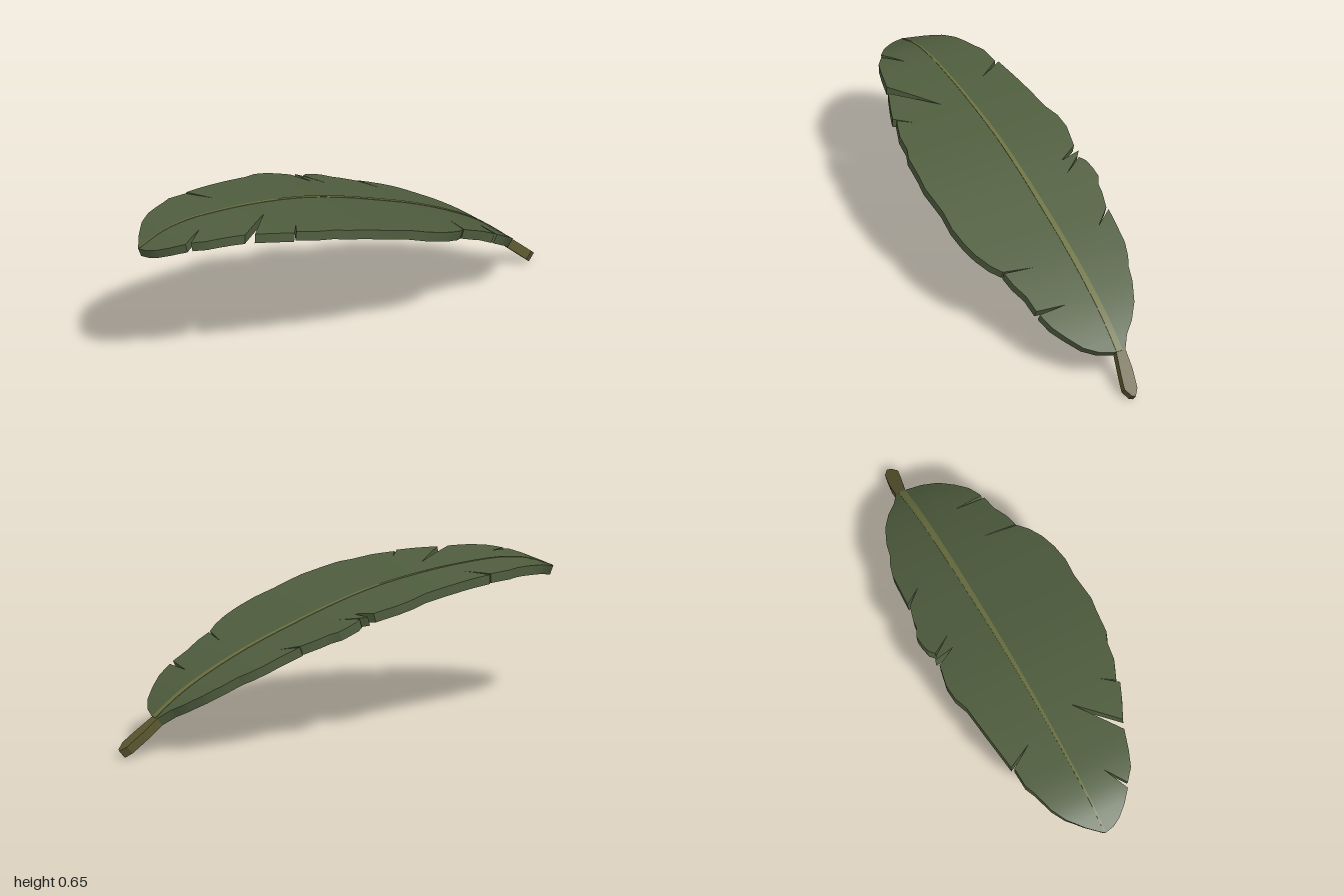
import * as THREE from 'three';
import { toCreasedNormals } from 'three/addons/utils/BufferGeometryUtils.js';

const THICKNESS = 0.04;

// Arching spine of the upper face, seen from the front
const spine = new THREE.CatmullRomCurve3([
  [-1, 0.585], [-0.88, 0.632], [-0.75, 0.65], [-0.62, 0.648], [-0.45, 0.636], [-0.2, 0.6],
  [0, 0.55], [0.2, 0.485], [0.42, 0.405], [0.62, 0.312], [0.75, 0.235], [0.88, 0.133], [1, 0.033],
].map(([x, y]) => new THREE.Vector3(x, y, 0)));
const stations = spine.getPoints(36);
const normals = stations.map((p, i) => {
  const a = stations[Math.max(i - 1, 0)], b = stations[Math.min(i + 1, stations.length - 1)];
  return new THREE.Vector3(a.y - b.y, b.x - a.x, 0).normalize();
});

// Places a flat point (x, z) on the arch, shifted by h along its normal
function bend([x, z], h) {
  let i = 0;
  while (i < stations.length - 2 && stations[i + 1].x < x) i++;
  const t = (x - stations[i].x) / (stations[i + 1].x - stations[i].x);
  const p = stations[i].clone().lerp(stations[i + 1], t);
  const n = normals[i].clone().lerp(normals[i + 1], t).normalize();
  return p.addScaledVector(n, h).setZ(z);
}

// Keeps the part of a convex polygon where side * (x - limit) >= 0
function clip(poly, limit, side) {
  const out = [];
  poly.forEach((a, i) => {
    const b = poly[(i + 1) % poly.length];
    const da = side * (a[0] - limit), db = side * (b[0] - limit);
    if (da >= 0) out.push(a);
    if (da * db < 0) {
      const t = da / (da - db);
      out.push([limit, a[1] + (b[1] - a[1]) * t]);
    }
  });
  return out;
}

// Turns a flat outline into a slab that follows the arch
function archedSlab(points, top, bottom) {
  const area = (p) => THREE.ShapeUtils.area(p.map(([x, y]) => ({ x, y })));
  const outline = area(points) > 0 ? [...points].reverse() : points;
  const pos = [];
  const tri = (...corners) => corners.forEach((v) => pos.push(v.x, v.y, v.z));

  // Upper and lower faces, cut into strips across the arch
  const contour = outline.map(([x, z]) => new THREE.Vector2(x, z));
  for (const face of THREE.ShapeUtils.triangulateShape(contour, [])) {
    let flat = face.map((i) => outline[i]);
    if (area(flat) > 0) flat = flat.reverse();
    for (let s = 0; s < stations.length - 1; s++) {
      const strip = clip(clip(flat, stations[s].x, 1), stations[s + 1].x, -1);
      if (strip.length < 3 || Math.abs(area(strip)) < 1e-9) continue;
      const up = strip.map((p) => bend(p, top)), low = strip.map((p) => bend(p, bottom));
      for (let k = 1; k < strip.length - 1; k++) {
        tri(up[0], up[k], up[k + 1]);
        tri(low[0], low[k + 1], low[k]);
      }
    }
  }

  // Rim wall
  outline.forEach((a, i) => {
    const b = outline[(i + 1) % outline.length];
    const cuts = stations.map((p) => (p.x - a[0]) / (b[0] - a[0])).filter((t) => t > 1e-4 && t < 1 - 1e-4);
    const ts = [0, ...cuts.sort((m, n) => m - n), 1];
    const edge = ts.map((t) => [a[0] + (b[0] - a[0]) * t, a[1] + (b[1] - a[1]) * t]);
    for (let k = 0; k < edge.length - 1; k++) {
      const p = edge[k], q = edge[k + 1];
      tri(bend(q, top), bend(p, top), bend(p, bottom));
      tri(bend(q, top), bend(p, bottom), bend(q, bottom));
    }
  });

  const geo = new THREE.BufferGeometry();
  geo.setAttribute('position', new THREE.Float32BufferAttribute(pos, 3));
  return toCreasedNormals(geo, 0.4);
}

// Back edge from tip to base, with torn slits
const backEdge = [
  [-1, -0.065], [-0.95, -0.13], [-0.89, -0.19], [-0.83, -0.225], [-0.735, -0.255], [-0.69, -0.275], [-0.6, -0.28],
  [-0.53, -0.18], [-0.59, -0.29], [-0.4, -0.315], [-0.265, -0.33], [-0.2, -0.352], [-0.13, -0.356], [-0.03, -0.335],
  [0.02, -0.25], [0, -0.34], [0.02, -0.325], [0.085, -0.24], [0.03, -0.325], [0.055, -0.345], [0.1, -0.353],
  [0.14, -0.355], [0.18, -0.335], [0.22, -0.33], [0.29, -0.31], [0.355, -0.24], [0.3, -0.315], [0.37, -0.31],
  [0.46, -0.303], [0.52, -0.285], [0.56, -0.265], [0.62, -0.25], [0.7, -0.215], [0.76, -0.17], [0.8, -0.125], [0.845, -0.093],
];
// Front edge from base to tip, with torn slits
const frontEdge = [
  [0.845, -0.045], [0.83, 0.02], [0.8, 0.08], [0.75, 0.13], [0.7, 0.17], [0.65, 0.19], [0.637, 0.193],
  [0.63, 0.07], [0.62, 0.2], [0.55, 0.21], [0.49, 0.235], [0.43, 0.247], [0.445, 0.11], [0.423, 0.25],
  [0.38, 0.285], [0.32, 0.315], [0.25, 0.335], [0.17, 0.346], [0.08, 0.341], [-0.05, 0.352], [-0.12, 0.343],
  [-0.22, 0.335], [-0.27, 0.315], [-0.35, 0.305], [-0.44, 0.27], [-0.4, 0.21], [-0.455, 0.28], [-0.52, 0.255],
  [-0.61, 0.215], [-0.45, 0.055], [-0.65, 0.2], [-0.74, 0.175], [-0.81, 0.15], [-0.86, 0.11], [-0.77, 0.045],
  [-0.88, 0.1], [-0.93, 0.06], [-0.97, 0.015], [-0.99, -0.02],
];
const stalkOutline = [
  [0.845, -0.093], [0.91, -0.09], [0.975, -0.077], [1, -0.056], [0.995, -0.04], [0.968, -0.021], [0.925, -0.03], [0.845, -0.05],
];
const midribOutline = [[-0.995, -0.067], [0.845, -0.08], [0.845, -0.051], [-0.995, -0.061]];

export function createModel() {
  const group = new THREE.Group();
  const add = (name, color, outline, top, bottom) => {
    const mesh = new THREE.Mesh(archedSlab(outline, top, bottom), new THREE.MeshStandardMaterial({ color }));
    mesh.name = name;
    group.add(mesh);
  };
  add('leafBlade', 0x4f5d3e, [...backEdge, ...frontEdge], 0, -THICKNESS);
  add('midrib', 0x6b7040, midribOutline, 0.002, -0.004);
  add('stalk', 0x5c5730, stalkOutline, 0, -THICKNESS);
  return group;
}
